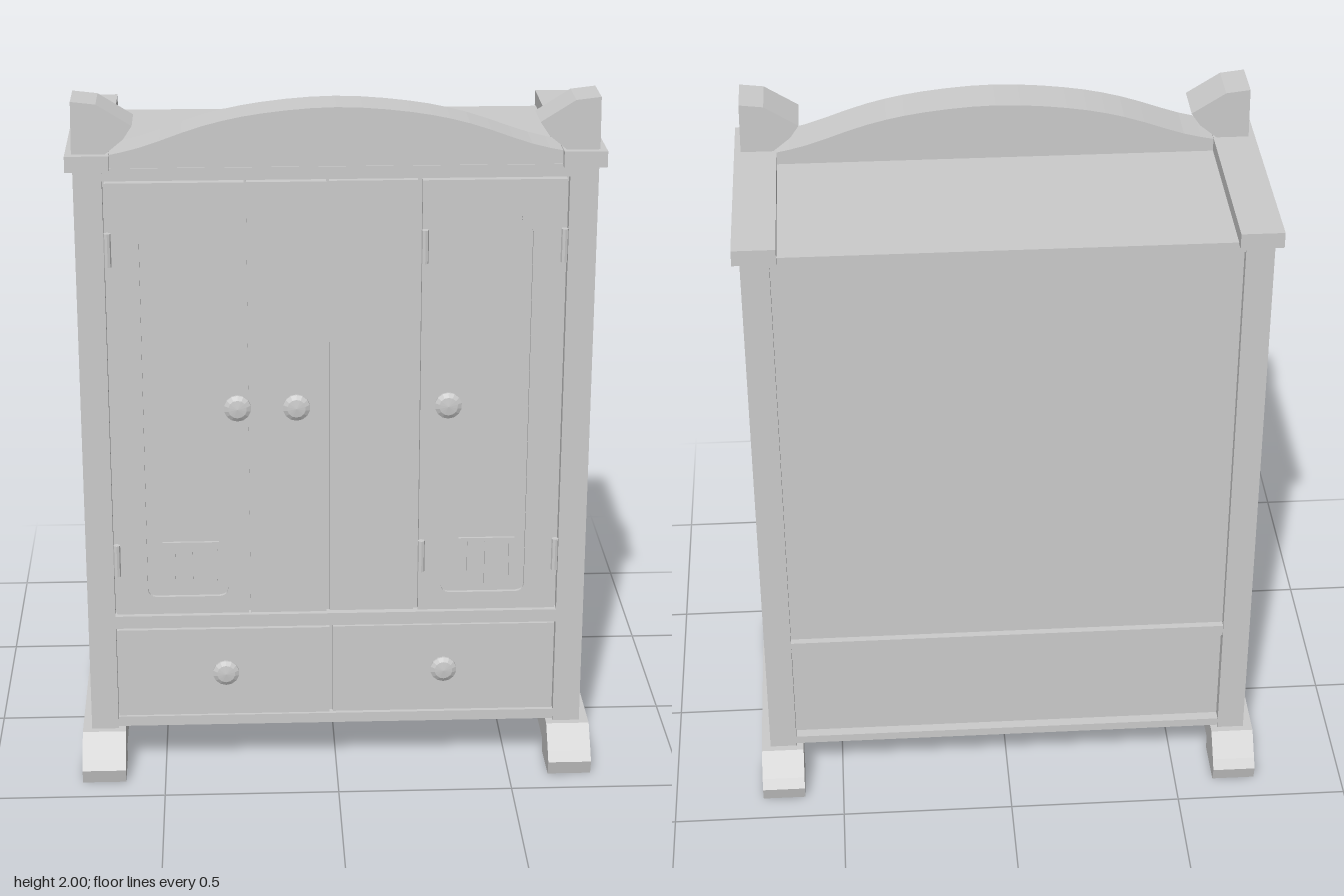
import * as THREE from 'three';

const grey = new THREE.MeshStandardMaterial({ color: 0xcccccc, flatShading: true });

export function createModel() {
  const model = new THREE.Group();
  model.name = 'wardrobe';

  const add = (name, geometry) => {
    const mesh = new THREE.Mesh(geometry, grey);
    mesh.name = name;
    model.add(mesh);
    return mesh;
  };

  // Box given by its min and max on each axis
  const box = (name, x0, x1, y0, y1, z0, z1) => {
    const mesh = add(name, new THREE.BoxGeometry(x1 - x0, y1 - y0, z1 - z0));
    mesh.position.set((x0 + x1) / 2, (y0 + y1) / 2, (z0 + z1) / 2);
    return mesh;
  };

  // The same box on both sides of the model
  const pair = (name, x0, x1, ...rest) => {
    box(name + 'Left', x0, x1, ...rest);
    box(name + 'Right', -x1, -x0, ...rest);
  };

  const polygon = (points) => new THREE.Shape(points.map(([x, y]) => new THREE.Vector2(x, y)));
  const extrude = (shape, depth, curveSegments = 8) =>
    new THREE.ExtrudeGeometry(shape, { depth, bevelEnabled: false, curveSegments });

  // Sled feet: side profile with sloped toes and a raised middle
  const half = [[0.27, 0.05], [0.27, 0.01], [0.415, 0.01], [0.425, 0.05], [0.405, 0.075], [0.35, 0.135]];
  const footProfile = polygon([...half, ...half.map(([z, y]) => [-z, y]).reverse()]);
  for (const side of [-1, 1]) {
    const foot = add(side > 0 ? 'footLeft' : 'footRight', extrude(footProfile, 0.125));
    foot.rotation.y = Math.PI / 2;
    foot.position.set(side * 0.677 - 0.0625, -0.01, 0);
    foot.scale.y = 1.04;
  }

  // Corner posts
  for (const z of [0.29, -0.29]) {
    pair(z > 0 ? 'frontPost' : 'backPost', 0.635, 0.713, 0.13, 1.82, z - 0.04, z + 0.04);
  }

  // Side panels and their rails
  pair('sidePanel', 0.63, 0.69, 0.53, 1.79, -0.26, 0.26);
  pair('sideTopRail', 0.63, 0.705, 1.77, 1.82, -0.26, 0.26);
  pair('sideMiddleRail', 0.63, 0.707, 0.495, 0.535, -0.26, 0.26);
  pair('sideLowerPanel', 0.63, 0.685, 0.2, 0.35, -0.26, 0.26);
  pair('sideUpperBoard', 0.63, 0.692, 0.35, 0.495, -0.26, 0.26);
  pair('sideBottomRail', 0.63, 0.7, 0.13, 0.2, -0.26, 0.26);

  // Back, bottom and top
  box('backPanel', -0.64, 0.64, 0.48, 1.8, -0.305, -0.28);
  box('backMiddleRail', -0.64, 0.64, 0.48, 0.515, -0.325, -0.28);
  box('backLowerPanel', -0.64, 0.64, 0.14, 0.48, -0.295, -0.27);
  box('backBottomRail', -0.64, 0.64, 0.135, 0.16, -0.325, -0.27);
  box('bottomPanel', -0.64, 0.64, 0.135, 0.15, -0.32, 0.32);
  box('topPanel', -0.64, 0.64, 1.785, 1.815, -0.328, 0.325);
  pair('topRail', 0.615, 0.733, 1.81, 1.855, -0.355, 0.35);

  // Front frame
  box('frontCore', -0.64, 0.64, 0.14, 1.79, 0.26, 0.3);
  box('frontTopRail', -0.64, 0.64, 1.78, 1.815, 0.28, 0.328);
  box('frontShelfRail', -0.64, 0.64, 0.45, 0.488, 0.28, 0.33);
  box('frontBottomRail', -0.64, 0.64, 0.135, 0.165, 0.28, 0.325);

  // Curved crest between the finials
  const crestLine = new THREE.SplineCurve([
    [0.65, 1.845], [0.53, 1.872], [0.36, 1.93], [0.2, 1.963], [0, 1.978],
    [-0.2, 1.963], [-0.36, 1.93], [-0.53, 1.872], [-0.65, 1.845],
  ].map(([x, y]) => new THREE.Vector2(x, y)));
  const crest = polygon([[-0.65, 1.81], [0.65, 1.81]]);
  crestLine.getPoints(24).forEach((p) => crest.lineTo(p.x, p.y));
  add('crest', extrude(crest, 0.13)).position.z = 0.195;

  // Angular finials leaning towards the middle
  const finialPoints = [[0.63, 1.85], [0.715, 1.85], [0.713, 2.0], [0.645, 1.992], [0.55, 1.932], [0.575, 1.895]];
  for (const side of [-1, 1]) {
    const points = finialPoints.map(([x, y]) => [side * x, y]);
    add(side > 0 ? 'finialLeft' : 'finialRight', extrude(polygon(points), 0.13)).position.z = 0.198;
  }

  // Door with a recessed, shouldered arch panel
  const archPoints = (x0, x1) => {
    const s = new THREE.Path();
    s.moveTo(x0, 0.57);
    s.quadraticCurveTo(x0, 0.545, x0 + 0.03, 0.545);
    s.lineTo(x1 - 0.03, 0.545);
    s.quadraticCurveTo(x1, 0.545, x1, 0.57);
    s.lineTo(x1, 1.62);
    s.quadraticCurveTo(x1 - 0.005, 1.65, x1 - 0.03, 1.655);
    s.quadraticCurveTo(x1 - 0.035, 1.7, x1 - 0.075, 1.7);
    s.lineTo(x0 + 0.075, 1.7);
    s.quadraticCurveTo(x0 + 0.035, 1.7, x0 + 0.03, 1.655);
    s.quadraticCurveTo(x0 + 0.005, 1.65, x0, 1.62);
    return s;
  };
  const archedDoor = (name, x0, x1, hole0, hole1) => {
    const shape = polygon([[x0, 0.492], [x1, 0.492], [x1, 1.772], [x0, 1.772]]);
    shape.holes.push(archPoints(hole0, hole1));
    add(name, extrude(shape, 0.025, 6)).position.z = 0.298;
    box(name + 'Panel', hole0 - 0.01, hole1 + 0.01, 0.53, 1.71, 0.29, 0.312);
    // Small grille at the foot of the panel
    const g = (hole0 + hole1) / 2 + 0.01;
    box(name + 'GrilleBar', g - 0.08, g + 0.08, 0.702, 0.712, 0.31, 0.32);
    for (const dx of [-0.05, 0, 0.07]) {
      box(name + 'GrilleSlat', g + dx - 0.005, g + dx + 0.005, 0.57, 0.71, 0.31, 0.32);
    }
  };
  archedDoor('doorRight', -0.63, -0.252, -0.54, -0.31);
  archedDoor('doorLeft', 0.235, 0.63, 0.3, 0.54);
  box('middleDoorRight', -0.246, -0.028, 0.492, 1.772, 0.29, 0.323);
  box('middleDoorLeft', -0.02, 0.222, 0.492, 1.772, 0.29, 0.318);

  // Drawers
  box('drawerRight', -0.632, -0.02, 0.17, 0.442, 0.29, 0.326);
  box('drawerLeft', -0.01, 0.632, 0.17, 0.442, 0.29, 0.322);

  // Round knobs on thin stems
  const knobProfile = [[0, 0], [0.026, 0], [0.038, 0.007], [0.038, 0.013], [0.026, 0.02], [0, 0.023]]
    .map(([r, h]) => new THREE.Vector2(r, h));
  const knob = (name, x, y, z) => {
    const head = add(name, new THREE.LatheGeometry(knobProfile, 14));
    head.rotation.x = Math.PI / 2;
    head.position.set(x, y, z);
    const stem = add(name + 'Stem', new THREE.CylinderGeometry(0.008, 0.008, z - 0.3, 8));
    stem.rotation.x = Math.PI / 2;
    stem.position.set(x, y, (z + 0.302) / 2);
  };
  for (const x of [-0.277, -0.113, 0.31]) knob('doorKnob', x, 1.135, 0.356);
  for (const x of [-0.32, 0.31]) knob('drawerKnob', x, 0.31, 0.332);

  // Hinges
  for (const x of [-0.625, 0.242, 0.625]) {
    for (const y of [1.587, 0.665]) {
      const hinge = add('hinge', new THREE.CylinderGeometry(0.01, 0.01, 0.095, 8));
      hinge.position.set(x, y, 0.333);
    }
  }

  return model;
}
